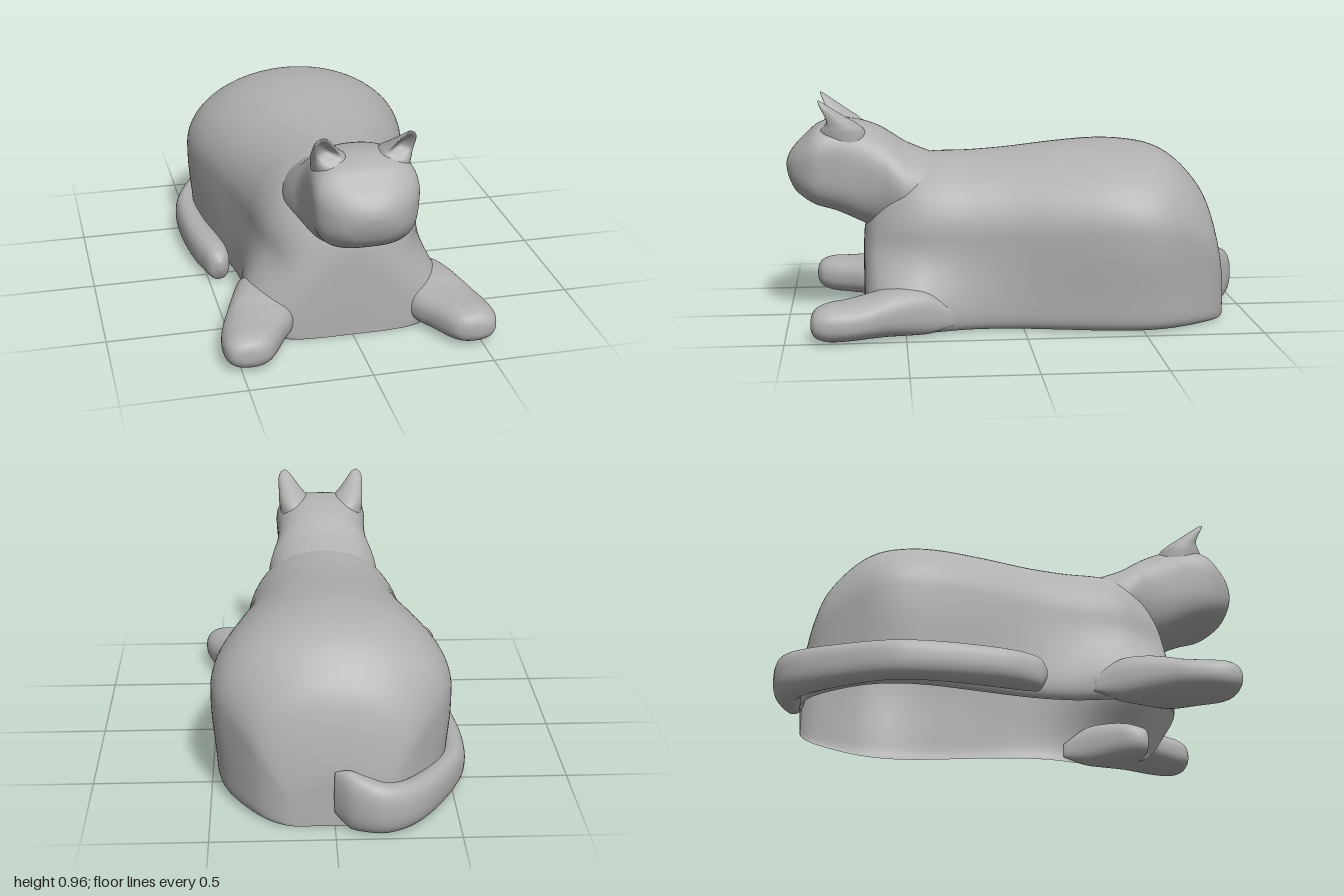
import * as THREE from 'three';

const SEG = 64;

// Catmull-Rom interpolation through rows of section parameters
function refine(keys, steps) {
  const rows = [];
  const at = (i) => keys[Math.min(Math.max(i, 0), keys.length - 1)];
  for (let i = 0; i < keys.length - 1; i++) {
    for (let s = 0; s < steps; s++) {
      const t = s / steps;
      rows.push(keys[i].map((b, k) => {
        const a = at(i - 1)[k], c = at(i + 1)[k], d = at(i + 2)[k];
        return b + 0.5 * t * (c - a + t * (2 * a - 5 * b + 4 * c - d + t * (3 * (b - c) + d - a)));
      }));
    }
  }
  rows.push(keys[keys.length - 1]);
  return rows;
}

// Skin over rings of points, capped at both ends; an open ring leaves a gap along the skin
function loft(rings, open = false) {
  const pos = [], index = [], n = rings[0].length, last = rings.length - 1;
  rings.forEach((r) => r.forEach((p) => pos.push(p.x, p.y, p.z)));
  for (let i = 0; i < last; i++) {
    for (let j = 0; j < (open ? n - 1 : n); j++) {
      const k = (j + 1) % n, a = i * n + j, b = i * n + k;
      index.push(a, b, b + n, a, b + n, a + n);
    }
  }
  [0, last].forEach((e) => {
    const c = new THREE.Vector3();
    rings[e].forEach((p) => c.addScaledVector(p, 1 / n));
    const id = pos.length / 3;
    pos.push(c.x, c.y, c.z);
    for (let j = 0; j < n; j++) {
      const a = e * n + j, b = e * n + (j + 1) % n;
      if (e) index.push(id, a, b);
      else index.push(id, b, a);
    }
  });
  const g = new THREE.BufferGeometry();
  g.setAttribute('position', new THREE.Float32BufferAttribute(pos, 3));
  g.setIndex(index);
  g.computeVertexNormals();
  return g;
}

// Unit superellipse points, counter-clockwise
function oval(power) {
  return Array.from({ length: SEG }, (_, j) => {
    const a = (j / SEG) * Math.PI * 2;
    const f = (v) => Math.sign(v) * Math.pow(Math.abs(v), 2 / power);
    return [f(Math.cos(a)), f(Math.sin(a))];
  });
}

// Torso section, open below: domed back, straight flank, foot flaring out to a rounded rim
function torsoRing([z, w, base, top]) {
  const yc = top * 0.56, half = [];
  for (let i = 20; i >= 1; i--) {
    const t = i / 24, v = 1 - (1 - t) * (1 - t);
    half.push([Math.pow(1 - Math.pow(v, 14), 1 / 14), yc * (1 - v)]);
  }
  for (let i = 0; i <= 20; i++) {
    const a = (i / 20) * Math.PI / 2;
    half.push([Math.cos(a), yc + (top - yc) * Math.sin(a)]);
  }
  const right = half.map(([s, y]) => {
    const flare = 1 - THREE.MathUtils.smoothstep(y, 0.07, 0.38);
    return new THREE.Vector3(s * (w + (base - w) * flare), y, z);
  });
  const left = right.slice(0, -1).reverse().map((p) => new THREE.Vector3(-p.x, p.y, z));
  return right.concat(left);
}

function torso() {
  // z, half width, half base width, top
  const keys = [
    [-0.89, 0.16, 0.16, 0.18], [-0.882, 0.21, 0.21, 0.27], [-0.85, 0.275, 0.275, 0.43],
    [-0.8, 0.335, 0.33, 0.56], [-0.7, 0.415, 0.405, 0.675], [-0.6, 0.475, 0.455, 0.735],
    [-0.48, 0.498, 0.478, 0.76], [-0.34, 0.485, 0.468, 0.767], [-0.15, 0.44, 0.428, 0.754],
    [0.05, 0.387, 0.39, 0.733], [0.22, 0.358, 0.385, 0.722], [0.36, 0.345, 0.415, 0.72],
    [0.46, 0.325, 0.44, 0.705], [0.54, 0.29, 0.43, 0.65], [0.6, 0.25, 0.39, 0.57],
    [0.64, 0.21, 0.33, 0.49], [0.665, 0.15, 0.25, 0.4], [0.672, 0.08, 0.14, 0.3],
  ];
  return loft(refine(keys, 5).map(torsoRing), true);
}

function head() {
  // z, half width, bottom, top, squareness
  const keys = [
    [0.28, 0.18, 0.4, 0.68, 2], [0.38, 0.235, 0.37, 0.72, 2], [0.48, 0.25, 0.36, 0.762, 2],
    [0.54, 0.237, 0.37, 0.8, 2.1], [0.6, 0.215, 0.385, 0.835, 2.3], [0.68, 0.204, 0.425, 0.86, 2.7],
    [0.78, 0.208, 0.475, 0.868, 3.1], [0.86, 0.208, 0.5, 0.845, 3.1], [0.91, 0.186, 0.525, 0.805, 2.9],
    [0.96, 0.135, 0.565, 0.757, 2.5], [0.988, 0.075, 0.62, 0.716, 2.2], [0.998, 0.02, 0.665, 0.685, 2],
  ];
  return loft(refine(keys, 5).map(([z, w, lo, hi, power]) => oval(power).map(([c, s]) =>
    new THREE.Vector3(w * c * (1 + 0.06 * s), (lo + hi) / 2 + s * (hi - lo) / 2, z))));
}

function foreleg(side) {
  // z, inner x, outer x, bottom, top
  const keys = [
    [0.3, 0.385, 0.4, 0.04, 0.1], [0.4, 0.34, 0.442, 0.01, 0.18], [0.5, 0.29, 0.48, 0.005, 0.2],
    [0.58, 0.25, 0.51, 0.005, 0.195], [0.65, 0.245, 0.538, 0.005, 0.178], [0.74, 0.3, 0.562, 0.005, 0.166],
    [0.82, 0.345, 0.565, 0.008, 0.16], [0.868, 0.38, 0.548, 0.025, 0.142], [0.888, 0.42, 0.52, 0.05, 0.115],
    [0.892, 0.455, 0.485, 0.075, 0.09],
  ];
  const shape = oval(2.4);
  return loft(refine(keys, 5).map(([z, a, b, lo, hi]) => shape.map(([c, s]) =>
    new THREE.Vector3(side * (a + b) / 2 + c * (b - a) / 2, (lo + hi) / 2 + s * (hi - lo) / 2, z))));
}

function ear(side) {
  // y, centre x, centre z, half width, half depth, front hollow
  const keys = [
    [0.77, 0.115, 0.745, 0.075, 0.105, 0], [0.83, 0.125, 0.758, 0.073, 0.1, 0.1],
    [0.86, 0.132, 0.772, 0.067, 0.086, 0.4], [0.89, 0.147, 0.796, 0.053, 0.064, 1.0],
    [0.93, 0.164, 0.827, 0.036, 0.034, 1.1], [0.955, 0.17, 0.844, 0.021, 0.014, 0.6],
    [0.966, 0.17, 0.85, 0.004, 0.003, 0],
  ];
  const shape = oval(2);
  return loft(refine(keys, 6).map(([y, cx, cz, rx, rz, dent]) => shape.map(([c, s]) => {
    const front = -s;
    const depth = front > 0 ? front * (1 - dent * front * front) : front;
    return new THREE.Vector3(side * cx + rx * c, y, cz + rz * depth);
  })));
}

function tail() {
  // x, z, half width, top
  const keys = [
    [0.0, -0.886, 0.012, 0.24], [-0.05, -0.905, 0.04, 0.255], [-0.11, -0.93, 0.056, 0.24],
    [-0.2, -0.942, 0.06, 0.215], [-0.305, -0.875, 0.06, 0.195], [-0.415, -0.72, 0.055, 0.178],
    [-0.5, -0.54, 0.053, 0.168], [-0.515, -0.4, 0.055, 0.166], [-0.505, -0.25, 0.06, 0.165],
    [-0.482, -0.1, 0.066, 0.163], [-0.462, 0.0, 0.06, 0.158], [-0.453, 0.065, 0.045, 0.14],
    [-0.45, 0.095, 0.012, 0.1],
  ];
  const rows = refine(keys, 5), shape = oval(2.4);
  const up = new THREE.Vector3(0, 1, 0);
  return loft(rows.map(([x, z, w, top], i) => {
    const p = rows[Math.max(i - 1, 0)], q = rows[Math.min(i + 1, rows.length - 1)];
    const across = up.clone().cross(new THREE.Vector3(q[0] - p[0], 0, q[1] - p[1])).normalize();
    const lo = Math.max(0.005, 0.08 - w * 1.6);
    return shape.map(([c, s]) => new THREE.Vector3(x, (lo + top) / 2 + s * (top - lo) / 2, z)
      .addScaledVector(across, w * c));
  }));
}

export function createModel() {
  const group = new THREE.Group();
  group.name = 'lyingCat';
  const grey = new THREE.MeshStandardMaterial({ color: 0xb0b0b0, side: THREE.DoubleSide });
  grey.name = 'plainGrey';
  const add = (name, geometry) => {
    const mesh = new THREE.Mesh(geometry, grey);
    mesh.name = name;
    group.add(mesh);
  };
  add('torso', torso());
  add('headAndNeck', head());
  add('tail', tail());
  [['left', 1], ['right', -1]].forEach(([name, side]) => {
    add(name + 'Foreleg', foreleg(side));
    add(name + 'Ear', ear(side));
  });
  return group;
}
